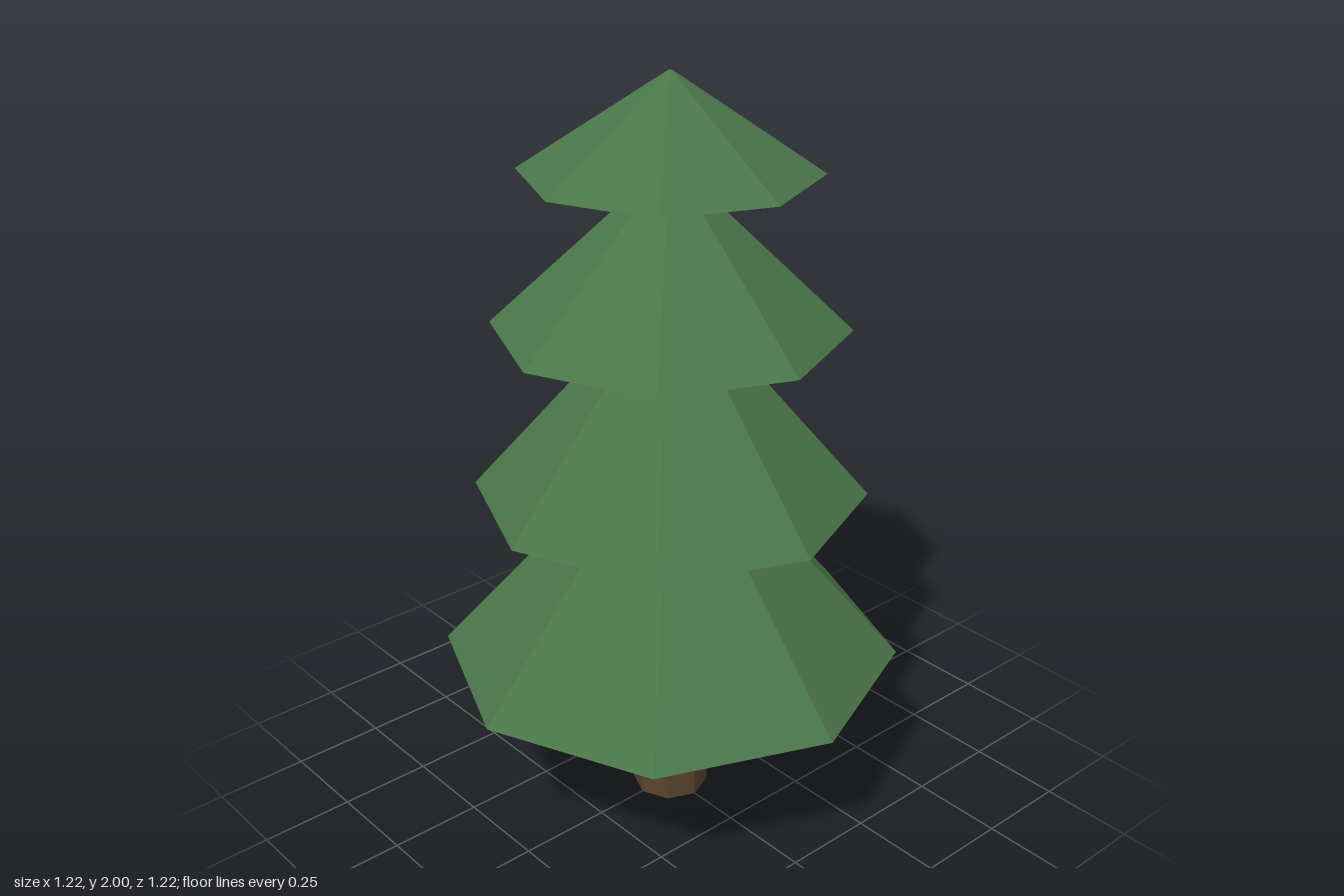
import * as THREE from 'three';

const SIDES = 8;

export function createModel() {
  const tree = new THREE.Group();
  tree.name = 'pineTree';

  const foliage = new THREE.MeshStandardMaterial({ color: 0x4a7649, flatShading: true });
  foliage.name = 'foliage green';
  const bark = new THREE.MeshStandardMaterial({ color: 0x5a432e, flatShading: true });
  bark.name = 'bark brown';

  // Eight-sided frustum standing between two heights
  function frustum(name, material, y0, y1, bottomRadius, topRadius) {
    const geometry = new THREE.CylinderGeometry(topRadius, bottomRadius, y1 - y0, SIDES);
    const mesh = new THREE.Mesh(geometry, material);
    mesh.name = name;
    mesh.position.y = (y0 + y1) / 2;
    tree.add(mesh);
  }

  // Trunk with a wider foot
  frustum('trunkBase', bark, 0, 0.14, 0.103, 0.103);
  frustum('trunk', bark, 0.13, 0.5, 0.073, 0.053);

  // Branch tiers from the lowest up: [bottom, apex, radius]
  const tiers = [
    [0.44, 1.12, 0.61],
    [0.915, 1.49, 0.51],
    [1.365, 1.785, 0.453],
    [1.76, 2.0, 0.373],
  ];
  tiers.forEach(([bottom, apex, radius], i) => {
    frustum(`branchTier${i + 1}`, foliage, bottom, apex, radius, 0.006);
  });

  return tree;
}
